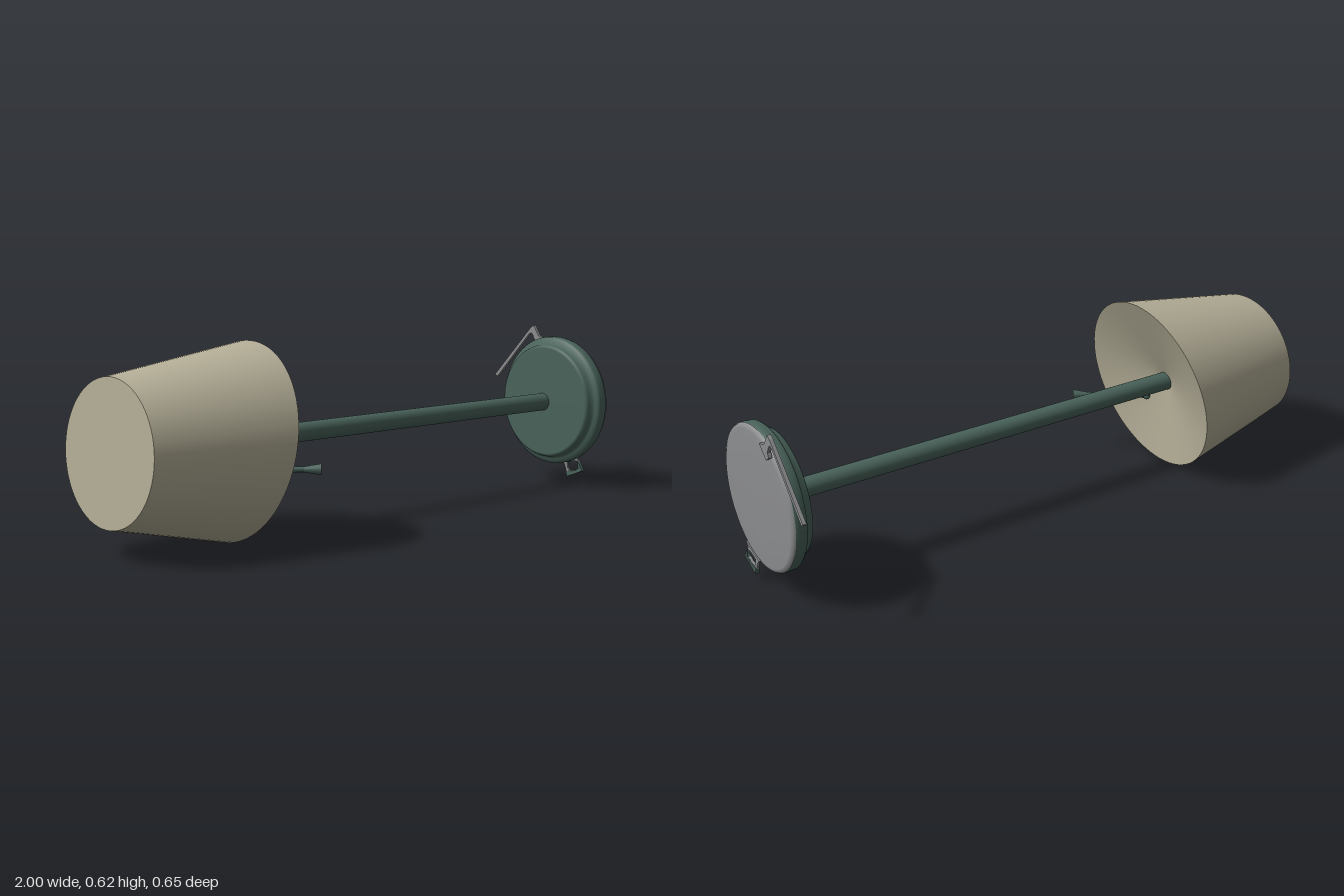
import * as THREE from 'three';

const shadeBeige = new THREE.MeshStandardMaterial({ color: 0xb5af98 });
const darkGreen = new THREE.MeshStandardMaterial({ color: 0x49635a });
const metalGrey = new THREE.MeshStandardMaterial({ color: 0x8c8d8f });

function add(group, name, geometry, material) {
  const mesh = new THREE.Mesh(geometry, material);
  mesh.name = name;
  group.add(mesh);
  return mesh;
}

// Tilted ring around the x axis; tiltY and tiltZ shift x at its top and front
function ring(x, y, z, ry, rz, tiltY = 0, tiltZ = 0, n = 72) {
  return Array.from({ length: n }, (_, i) => {
    const c = Math.cos((i / n) * Math.PI * 2), s = Math.sin((i / n) * Math.PI * 2);
    return [x + tiltY * c + tiltZ * s, y + ry * c, z + rz * s];
  });
}

// Smooth skin between two rings
function loft(a, b) {
  const n = a.length, index = [];
  for (let i = 0; i < n; i++) {
    const j = (i + 1) % n;
    index.push(i, j, n + i, j, n + j, n + i);
  }
  const g = new THREE.BufferGeometry();
  g.setAttribute('position', new THREE.Float32BufferAttribute([...a, ...b].flat(), 3));
  g.setIndex(index);
  g.computeVertexNormals();
  return g;
}

// Turned part lying along x, profile given as [radius, x]
function turned(profile, y, z) {
  const g = new THREE.LatheGeometry(profile.map(p => new THREE.Vector2(...p)), 72);
  return g.rotateZ(-Math.PI / 2).translate(0, y, z);
}

// Thin plate standing across x, outline given as [z, y]
function plate(outline, x, depth, hole) {
  const pts = list => list.map(([z, y]) => new THREE.Vector2(-z, y));
  const shape = new THREE.Shape(pts(outline));
  if (hole) shape.holes.push(new THREE.Path(pts(hole)));
  const g = new THREE.ExtrudeGeometry(shape, { depth, bevelEnabled: false });
  return g.rotateY(Math.PI / 2).translate(x, 0, 0);
}

function tube(points, radius) {
  const curve = new THREE.CatmullRomCurve3(points.map(p => new THREE.Vector3(...p)));
  return new THREE.TubeGeometry(curve, 24, radius, 10);
}

export function createModel() {
  const model = new THREE.Group();
  model.name = 'lyingLamp';

  // Shade: skewed cone, closed end and shallow funnel in the wide end
  const end = ring(-0.985, 0.325, 0.02, 0.226, 0.23, 0.015, 0.01);
  const rim = ring(-0.525, 0.315, 0.015, 0.312, 0.309, 0.065, 0.003);
  add(model, 'shadeSide', loft(end, rim), shadeBeige);
  add(model, 'shadeEnd', loft(ring(-0.985, 0.325, 0.02, 0, 0), end), shadeBeige);
  add(model, 'shadeFunnel', loft(rim, ring(-0.6, 0.316, 0.006, 0.01, 0.01)), shadeBeige);

  // Pole
  const pole = add(model, 'pole', new THREE.CylinderGeometry(0.032, 0.032, 1.51, 32), darkGreen);
  pole.rotation.z = -Math.PI / 2;
  pole.position.set(0.155, 0.316, 0.006);

  // Base: stepped disc with a pale, slightly domed sole
  add(model, 'base', turned([
    [0, 0.904], [0.198, 0.904], [0.206, 0.907], [0.21, 0.915], [0.213, 0.93], [0.222, 0.934],
    [0.233, 0.938], [0.238, 0.945], [0.239, 0.965], [0.236, 0.978], [0.228, 0.984],
  ], 0.319, 0.013), darkGreen);
  add(model, 'baseSole', turned([
    [0.238, 0.978], [0.234, 0.985], [0.222, 0.989], [0.12, 0.991], [0, 0.992],
  ], 0.319, 0.013), metalGrey);

  // Long hooked clip on the base edge
  add(model, 'longClip', plate([
    [-0.06, 0.54], [-0.082, 0.545], [-0.096, 0.552], [-0.122, 0.591], [-0.136, 0.583],
    [-0.322, 0.387], [-0.311, 0.378], [-0.145, 0.557], [-0.134, 0.561], [-0.127, 0.555],
    [-0.114, 0.531], [-0.121, 0.515], [-0.1, 0.5],
  ], 0.987, 0.012), metalGrey);

  // Short loop clip with a green foot bar
  add(model, 'loopClip', plate([
    [0.125, 0.12], [0.114, 0.103], [0.126, 0.078], [0.124, 0.062], [0.1, 0.054],
    [0.062, 0.044], [0.05, 0.076], [0.035, 0.09],
  ], 0.984, 0.008, [
    [0.114, 0.094], [0.121, 0.08], [0.118, 0.067], [0.1, 0.057], [0.075, 0.055],
    [0.066, 0.064], [0.063, 0.083], [0.08, 0.09], [0.1, 0.095],
  ]), metalGrey);
  add(model, 'loopFoot', plate([
    [0.116, 0.096], [0.122, 0.09], [0.139, 0.06], [0.065, 0.03], [0.06, 0.05],
    [0.08, 0.054], [0.103, 0.056], [0.12, 0.068],
  ], 0.981, 0.014), darkGreen);

  // Pull cord and green handle with a flared tip
  add(model, 'cord', tube([
    [-0.59, 0.3, 0.02], [-0.565, 0.285, 0.05], [-0.575, 0.262, 0.055], [-0.57, 0.235, 0.085],
  ], 0.006), shadeBeige);
  add(model, 'handle', tube([
    [-0.575, 0.234, 0.08], [-0.52, 0.239, 0.118], [-0.46, 0.237, 0.163], [-0.385, 0.236, 0.218],
  ], 0.009), darkGreen);
  const tip = add(model, 'handleTip', new THREE.CylinderGeometry(0.018, 0.009, 0.055, 16), darkGreen);
  tip.position.set(-0.38, 0.236, 0.222);
  tip.quaternion.setFromUnitVectors(new THREE.Vector3(0, 1, 0), new THREE.Vector3(0.8, 0, 0.6));
  const knob = add(model, 'handleKnuckle', new THREE.SphereGeometry(0.013, 16, 10), darkGreen);
  knob.position.set(-0.572, 0.234, 0.082);

  return model;
}
